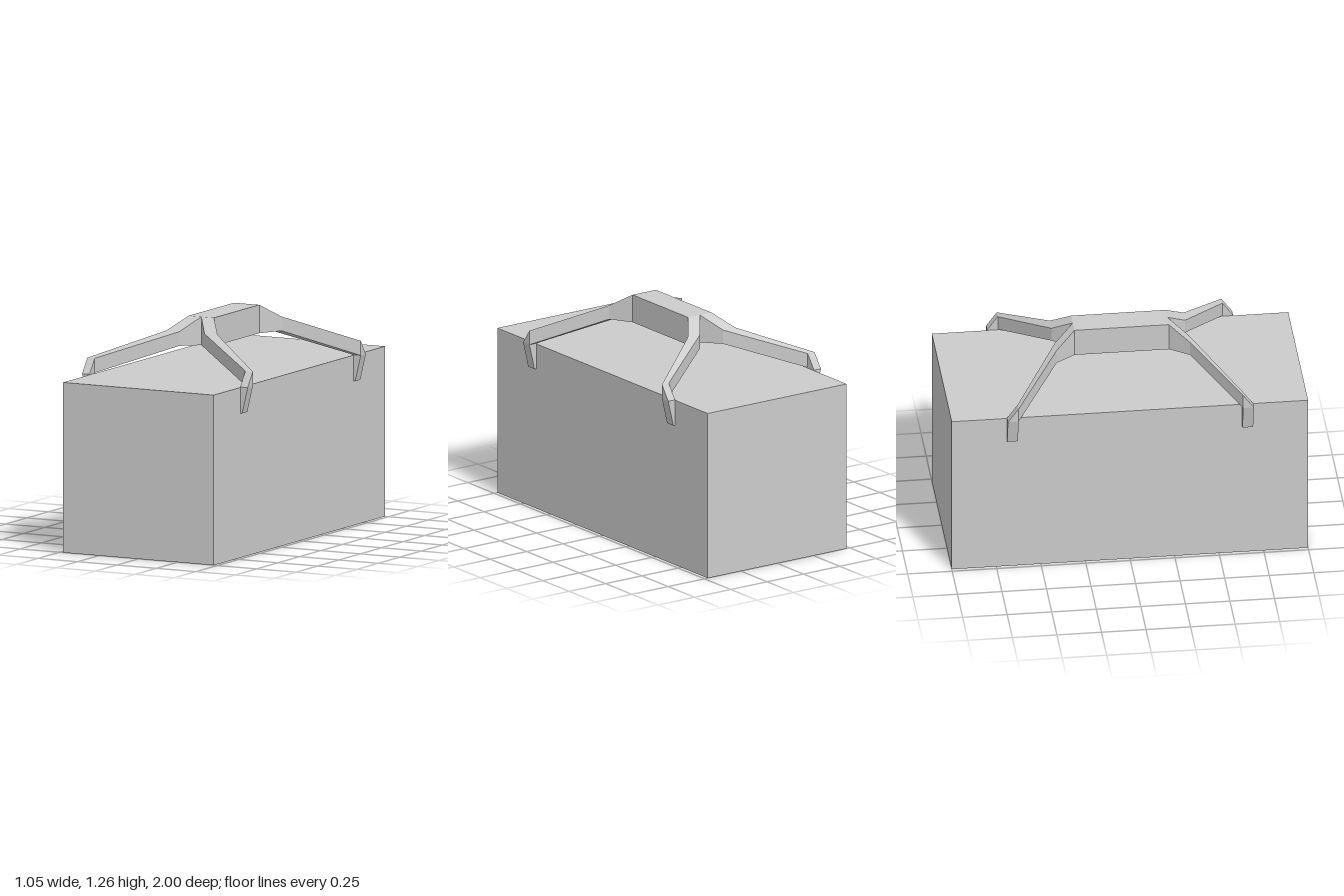
import * as THREE from 'three';

const material = new THREE.MeshStandardMaterial({ color: 0xcccccc, flatShading: true });

// Box spanning y0..y1, centred on x and z
function block(name, width, y0, y1, depth) {
  const mesh = new THREE.Mesh(new THREE.BoxGeometry(width, y1 - y0, depth), material);
  mesh.position.y = (y0 + y1) / 2;
  mesh.name = name;
  return mesh;
}

// Upright arm section: inner top, outer top, outer bottom, inner bottom
const upright = (x0, x1, yBottom, yTop, z) =>
  [[x0, yTop, z], [x1, yTop, z], [x1, yBottom, z], [x0, yBottom, z]];

// Level clip section in the same corner order
const level = (x0, x1, y, zNear, zFar) =>
  [[x0, y, zFar], [x1, y, zFar], [x1, y, zNear], [x0, y, zNear]];

const armSections = [
  upright(0, 0.08, 1.105, 1.265, 0.265),
  upright(0.08, 0.163, 1.11, 1.19, 0.375),
  upright(0.478, 0.525, 0.963, 1.045, 0.63),
  level(0.478, 0.525, 0.963, 0.63, 0.69),
  level(0.478, 0.49, 0.815, 0.63, 0.69),
];

// Flat-sided loft through the sections, mirrored by the signs sx and sz
function armGeometry(sx, sz) {
  const positions = [];
  const flip = sx * sz < 0;
  const quad = (...corners) => {
    const [a, b, c, d] = flip ? corners.reverse() : corners;
    for (const [x, y, z] of [a, b, c, a, c, d]) positions.push(x * sx, y, z * sz);
  };
  for (let i = 0; i < armSections.length - 1; i++) {
    const s = armSections[i], t = armSections[i + 1];
    for (let k = 0; k < 4; k++) {
      const n = (k + 1) % 4;
      quad(s[k], t[k], t[n], s[n]);
    }
  }
  const [a, b, c, d] = armSections[armSections.length - 1];
  quad(d, c, b, a);
  const geometry = new THREE.BufferGeometry();
  geometry.setAttribute('position', new THREE.Float32BufferAttribute(positions, 3));
  geometry.computeVertexNormals();
  return geometry;
}

export function createModel() {
  const model = new THREE.Group();
  model.name = 'clampedBlock';

  // Main body and the raised bar above it
  model.add(block('body', 0.956, 0, 0.96, 2));
  model.add(block('topBar', 0.16, 1.105, 1.265, 0.53));

  // Four arms reaching out to clips over the long edges
  for (const sz of [1, -1]) {
    for (const sx of [1, -1]) {
      const arm = new THREE.Mesh(armGeometry(sx, sz), material);
      arm.name = (sz > 0 ? 'front' : 'back') + (sx > 0 ? 'Left' : 'Right') + 'Arm';
      model.add(arm);
    }
  }
  return model;
}
